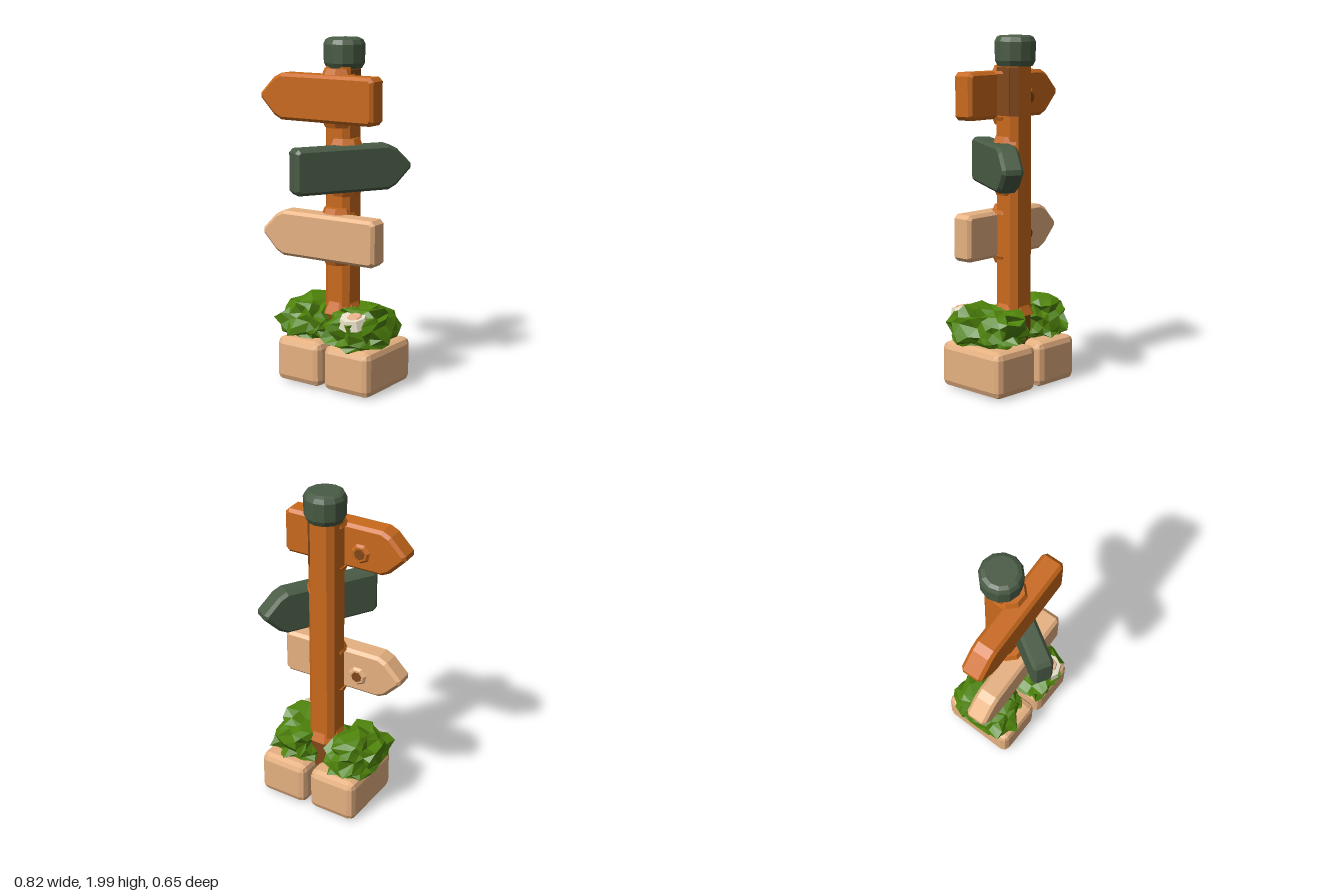
import * as THREE from 'three';
import { RoundedBoxGeometry } from 'three/addons/geometries/RoundedBoxGeometry.js';

const mat = (name, color) => {
  const m = new THREE.MeshStandardMaterial({ color, flatShading: true });
  m.name = name;
  return m;
};

// Centred slab with chamfered edges, from an outline in x and y
function chamferedSlab(points, depth, bevel) {
  const shape = new THREE.Shape(points.map(([x, y]) => new THREE.Vector2(x, y)));
  const g = new THREE.ExtrudeGeometry(shape, {
    depth: depth - 2 * bevel, bevelEnabled: true, bevelSegments: 1,
    bevelSize: bevel, bevelThickness: bevel, bevelOffset: -bevel,
  });
  return g.translate(0, 0, bevel - depth / 2);
}

// Arrow board whose blunt point faces local -x
function arrowBoard(length, height, depth) {
  const l = length / 2, h = height / 2, c = 0.022;
  return chamferedSlab([
    [l, c - h], [l, h - c], [l - c, h], [-l + 0.14, h], [-l + 0.09, h - 0.025], [-l, 0.015],
    [-l, -0.015], [-l + 0.09, -h + 0.025], [-l + 0.14, -h], [l - c, -h],
  ], depth, 0.018);
}

// Length of square post with cut corners, between two heights
function postSection(bottom, top) {
  const a = 0.084, c = 0.052;
  const shape = new THREE.Shape([
    [a, -c], [a, c], [c, a], [-c, a], [-a, c], [-a, -c], [-c, -a], [c, -a],
  ].map(([x, y]) => new THREE.Vector2(x, y)));
  const g = new THREE.ExtrudeGeometry(shape, { depth: top - bottom, bevelEnabled: false });
  return g.rotateX(-Math.PI / 2).translate(0, bottom, 0);
}

// Repeatable value between 0 and 1 for a point in space
function hash(x, y, z, seed) {
  const r = (v) => Math.round(v * 100);
  const s = Math.sin(r(x) * 12.9898 + r(y) * 78.233 + r(z) * 37.719 + seed * 4.13) * 43758.5453;
  return s - Math.floor(s);
}

// Jagged leafy dome: a squared-off icosphere, flattened below, with corners pushed in and out
function bushGeometry(rx, ry, rz, seed) {
  const g = new THREE.IcosahedronGeometry(1, 3);
  const p = g.attributes.position;
  const square = (v) => Math.sign(v) * Math.abs(v) ** 0.75;
  for (let i = 0; i < p.count; i++) {
    const x = p.getX(i), y = p.getY(i), z = p.getZ(i);
    const k = 0.74 + 0.34 * hash(x, y, z, seed);
    const sway = 0.24 * (hash(z, x, y, seed + 3) - 0.5);
    const lift = y > 0 ? ry : 0.6 * ry;
    p.setXYZ(i, (square(x) * k + sway) * rx, square(y) * k * lift, (square(z) * k - sway) * rz);
  }
  g.computeVertexNormals();
  return g;
}

export function createModel() {
  const group = new THREE.Group();
  const wood = mat('orange wood', 0xc9691c);
  const darkWood = mat('dark brown wood', 0x80481a);
  const green = mat('dark green paint', 0x495b45);
  const tan = mat('tan stone', 0xe6b181);
  const leaf = mat('leaf green', 0x4f840b);
  const cream = mat('cream petals', 0xe9e1c8);
  const peach = mat('peach flower centre', 0xe6b088);

  const add = (name, geometry, material, x, y, z, ry = 0) => {
    const m = new THREE.Mesh(geometry, material);
    m.name = name;
    m.position.set(x, y, z);
    m.rotation.y = ry;
    group.add(m);
    return m;
  };

  // Post, darker where it sinks between the bushes
  add('post', postSection(0.42, 1.88), wood, 0.04, 0, -0.05);
  add('postBase', postSection(0.23, 0.42), darkWood, 0.04, 0, -0.05);
  add('postFoot', new THREE.CylinderGeometry(0.088, 0.122, 0.07, 8), wood, 0.04, 0.455, -0.045, Math.PI / 8);

  // Dark patch below the cap, on the left face and the cut corner behind it
  add('darkSidePatch', new THREE.BoxGeometry(0.006, 0.27, 0.1), darkWood, 0.123, 1.69, -0.05);
  add('darkCornerPatch', new THREE.BoxGeometry(0.006, 0.27, 0.045), darkWood, 0.107, 1.69, -0.117, Math.PI / 4);

  // Rounded cap on the post
  const cap = [[0, 0], [0.1, 0], [0.116, 0.03], [0.119, 0.135], [0.106, 0.16], [0.085, 0.17], [0, 0.17]];
  add('postCap', new THREE.LatheGeometry(cap.map(([x, y]) => new THREE.Vector2(x, y)), 12),
    green, 0.04, 1.83, -0.06);

  // Arrow boards
  const boards = [
    add('topBoard', arrowBoard(0.75, 0.265, 0.13), wood, -0.03, 1.667, 0.07, 0.04),
    add('bottomBoard', arrowBoard(0.755, 0.265, 0.13), tan, -0.019, 0.878, 0.07, 0.04),
  ];
  add('middleBoard', arrowBoard(0.71, 0.26, 0.12), green, 0.127, 1.275, 0, Math.atan2(-0.86, -0.51));

  // Round boss with a dark centre on the back of the two front boards
  boards.forEach((board) => {
    const boss = new THREE.Mesh(new THREE.CylinderGeometry(0.06, 0.045, 0.016, 7), board.material);
    const centre = new THREE.Mesh(new THREE.CylinderGeometry(0.032, 0.032, 0.006, 7), darkWood);
    boss.name = 'boss';
    centre.name = 'bossCentre';
    boss.rotation.x = Math.PI / 2;
    boss.position.set(-0.11, -0.025, -0.072);
    centre.position.y = -0.009;
    boss.add(centre);
    board.add(boss);
  });

  // Wooden flares joining each board to the post, above and below
  const flare = () => new THREE.CylinderGeometry(0.08, 0.1, 0.045, 8);
  [[1.667, 0.04, -0.005], [1.275, 0.065, -0.04], [0.878, 0.04, -0.005]].forEach(([y, x, z]) => {
    add('upperFlare', flare(), wood, x, y + 0.143, z, Math.PI / 8);
    add('lowerFlare', flare(), wood, x, y - 0.143, z, Math.PI / 8).rotation.x = Math.PI;
  });

  // Two stone planter blocks
  add('rightBlock', new RoundedBoxGeometry(0.305, 0.265, 0.455, 1, 0.04), tan, -0.11, 0.14, -0.028);
  add('leftBlock', new RoundedBoxGeometry(0.31, 0.265, 0.46, 1, 0.04), tan, 0.226, 0.14, -0.03);

  // Bushes
  add('rightBush', bushGeometry(0.168, 0.16, 0.215, 2), leaf, -0.148, 0.335, -0.025);
  add('leftBush', bushGeometry(0.178, 0.16, 0.24, 7), leaf, 0.21, 0.335, -0.01);

  // Flower lying on the left bush
  const flower = new THREE.Group();
  flower.name = 'flower';
  flower.position.set(0.245, 0.436, 0.135);
  flower.rotation.x = 0.22;
  const petals = new THREE.Mesh(new THREE.CylinderGeometry(0.076, 0.094, 0.055, 8), cream);
  petals.name = 'flowerPetals';
  const centre = new THREE.Mesh(new THREE.CylinderGeometry(0.038, 0.044, 0.009, 7), peach);
  centre.name = 'flowerCentre';
  centre.position.set(0.012, 0.031, 0.005);
  flower.add(petals, centre);
  group.add(flower);

  return group;
}
